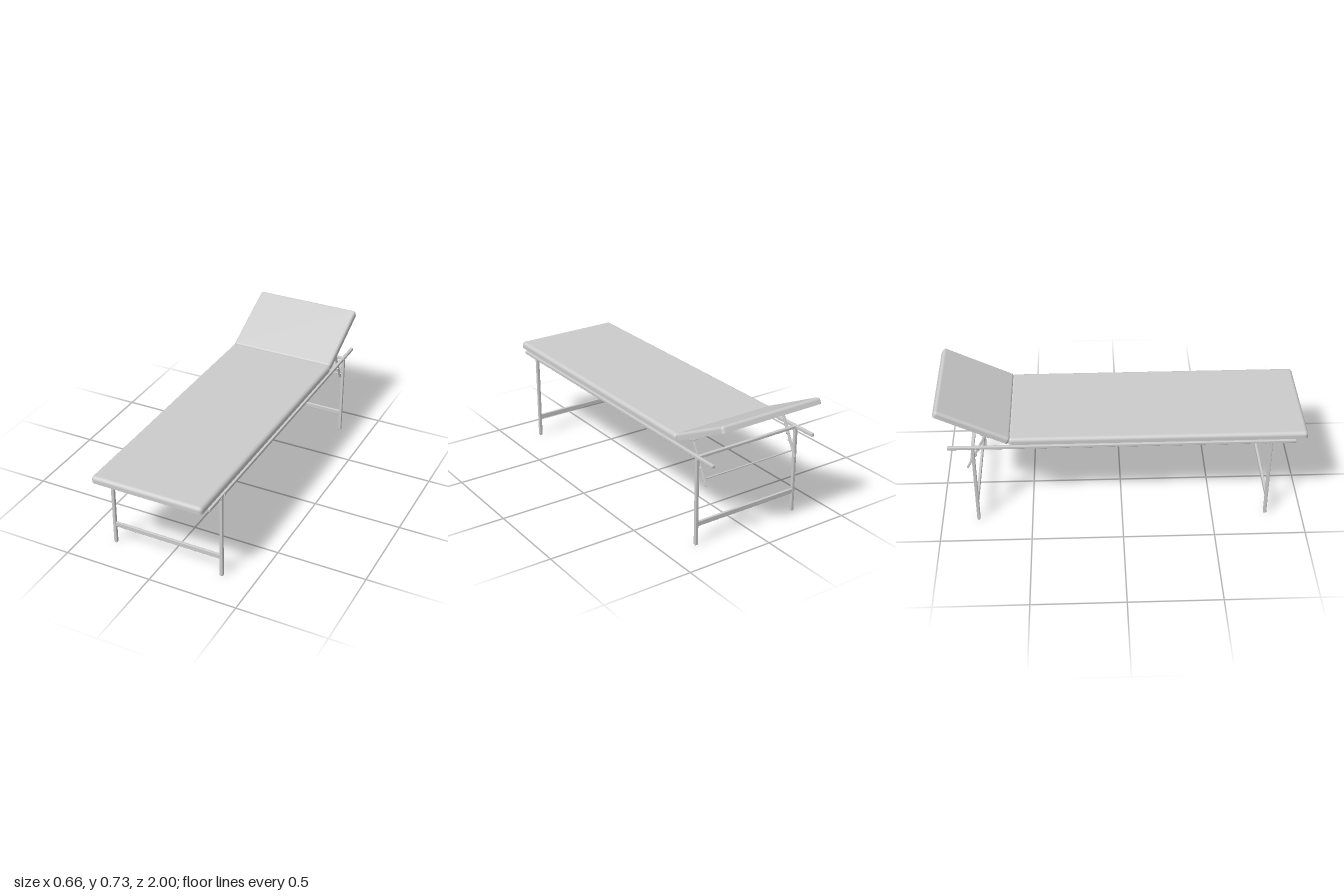
import * as THREE from 'three';
import { RoundedBoxGeometry } from 'three/addons/geometries/RoundedBoxGeometry.js';

const mat = new THREE.MeshStandardMaterial({ color: 0xcccccc });

function add(parent, name, geometry, x, y, z) {
  const mesh = new THREE.Mesh(geometry, mat);
  mesh.name = name;
  mesh.position.set(x, y, z);
  parent.add(mesh);
  return mesh;
}

// Square tube with softly rounded edges
const bar = (w, h, d) => new RoundedBoxGeometry(w, h, d, 2, Math.min(w, h, d) * 0.2);

// Padded slab standing on y = 0: rounded top edges, flat underside
function cushion(w, h, d, r) {
  const g = new RoundedBoxGeometry(w, 2 * h, d, 4, r);
  const p = g.attributes.position, n = g.attributes.normal;
  for (let i = 0; i < p.count; i++) {
    if (p.getY(i) < 0) {
      p.setY(i, 0);
      if (n.getY(i) < -0.05) n.setXYZ(i, 0, -1, 0);
    }
  }
  return g;
}

export function createModel() {
  const model = new THREE.Group();
  model.name = 'adjustableCouch';

  // Main padding
  add(model, 'mainCushion', cushion(0.63, 0.037, 1.61, 0.02), 0, 0.508, 0.195);

  // Tilted headrest, hinged at the end of the main padding
  const tilt = 0.458;
  const headrest = new THREE.Group();
  headrest.name = 'headrest';
  headrest.position.set(0, 0.511, -0.612);
  headrest.rotation.x = tilt;
  add(headrest, 'headrestCushion', cushion(0.626, 0.037, 0.43, 0.016), 0, 0, -0.215);
  model.add(headrest);

  // Side rails
  for (const s of [-1, 1]) {
    add(model, 'sideRail', bar(0.018, 0.018, 1.87), s * 0.319, 0.499, 0);
  }

  // Leg frames
  for (const z of [0.8, -0.8]) {
    const frame = new THREE.Group();
    frame.name = z > 0 ? 'frontLegFrame' : 'rearLegFrame';
    frame.position.z = z;
    model.add(frame);
    add(frame, 'topCrossbar', bar(0.63, 0.015, 0.018), 0, 0.4975, 0);
    add(frame, 'lowerCrossbar', bar(0.63, 0.027, 0.014), 0, 0.1205, 0);
    for (const s of [-1, 1]) {
      add(frame, 'leg', bar(0.018, 0.495, 0.018), s * 0.319, 0.2475, 0);
      for (const dz of [-0.018, 0.018]) {
        const bolt = add(frame, 'bolt', new THREE.CylinderGeometry(0.005, 0.005, 0.006, 10), s * 0.329, 0.497, dz);
        bolt.rotation.z = Math.PI / 2;
      }
    }
  }

  // Support struts carrying the headrest
  const top = new THREE.Vector2(-0.727, 0.562), end = new THREE.Vector2(-0.839, 0.342);
  const length = top.distanceTo(end);
  const lean = Math.atan2(top.x - end.x, top.y - end.y);
  for (const s of [-1, 1]) {
    const strut = new THREE.Group();
    strut.name = 'strut';
    strut.position.set(s * 0.2885, end.y, end.x);
    strut.rotation.x = lean;
    add(strut, 'strutArm', bar(0.013, length, 0.011), 0, length / 2, 0);
    // Notch stops along the arm
    for (const t of [0.095, 0.135]) {
      add(strut, 'notchStop', bar(0.014, 0.012, 0.018), 0, t, 0.003);
    }
    model.add(strut);

    // Mounting bracket under the headrest
    add(headrest, 'strutBracket', bar(0.03, 0.012, 0.05), s * 0.2885, -0.006, -0.13);
  }

  // Rod joining the struts
  const rod = add(model, 'strutRod', new THREE.CylinderGeometry(0.004, 0.004, 0.602, 12), 0, 0.377, -0.821);
  rod.rotation.z = Math.PI / 2;

  return model;
}
